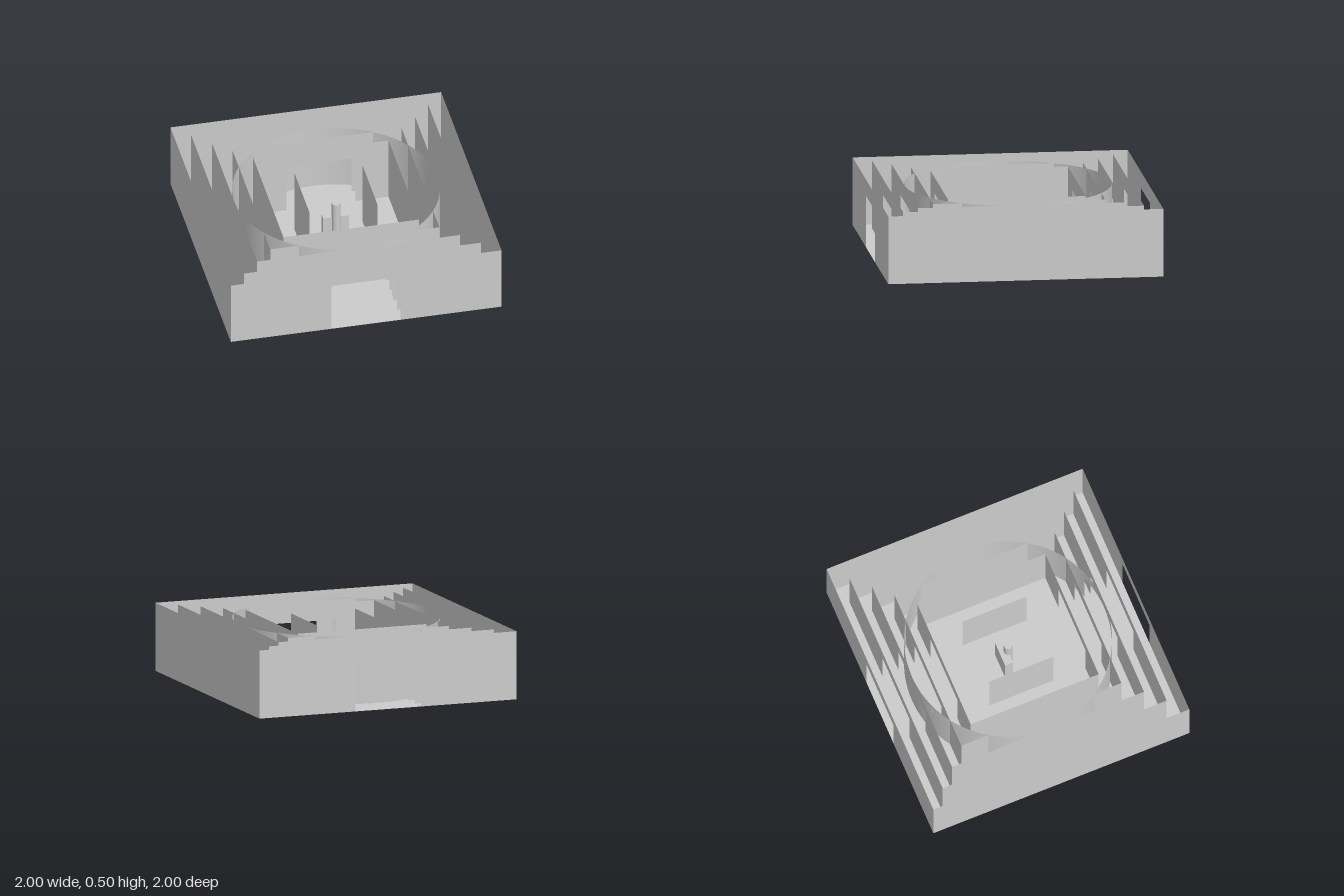
import * as THREE from 'three';

const HEIGHT = 0.5, DOOR_HALF = 0.255, DOOR_TOP = 0.38;
const material = new THREE.MeshStandardMaterial({ color: 0xcccccc, side: THREE.DoubleSide });

function add(parent, name, geometry, x = 0, y = 0, z = 0) {
  const mesh = new THREE.Mesh(geometry, material);
  mesh.name = name;
  mesh.position.set(x, y, z);
  parent.add(mesh);
  return mesh;
}

// Thin wall panel with a doorway notch cut up from the ground
function doorPanel(half) {
  const d = DOOR_HALF;
  return new THREE.ShapeGeometry(new THREE.Shape([
    [-half, 0], [-d, 0], [-d, DOOR_TOP], [d, DOOR_TOP], [d, 0], [half, 0], [half, HEIGHT], [-half, HEIGHT],
  ].map(([x, y]) => new THREE.Vector2(x, y))));
}

function sidePanels(parent, half) {
  for (const s of [-1, 1]) {
    const panel = add(parent, 'sideWall', new THREE.PlaneGeometry(2 * half, HEIGHT), s * half, HEIGHT / 2, 0);
    panel.rotation.y = s * Math.PI / 2;
  }
}

export function createModel() {
  const model = new THREE.Group();
  model.name = 'walledEnclosure';

  // Ground slab
  add(model, 'floor', new THREE.PlaneGeometry(2, 2).rotateX(-Math.PI / 2));

  // Nested square walls, with doorways front and back
  for (const half of [1, 0.875, 0.75, 0.625, 0.5]) {
    const ring = new THREE.Group();
    ring.name = 'squareWall';
    for (const s of [-1, 1]) {
      const panel = add(ring, 'doorWall', doorPanel(half), 0, 0, s * half);
      if (s < 0) panel.rotation.y = Math.PI;
    }
    sidePanels(ring, half);
    model.add(ring);
  }

  // Innermost pair of walls, open at front and back
  const inner = new THREE.Group();
  inner.name = 'innerWalls';
  sidePanels(inner, 0.25);
  model.add(inner);

  // Round wall with a doorway at the front only
  const round = new THREE.Group();
  round.name = 'roundWall';
  const r = 0.75, gap = Math.asin(DOOR_HALF / r), band = HEIGHT - DOOR_TOP;
  add(round, 'roundWallLower',
    new THREE.CylinderGeometry(r, r, DOOR_TOP, 96, 1, true, gap, 2 * Math.PI - 2 * gap), 0, DOOR_TOP / 2, 0);
  add(round, 'roundWallUpper',
    new THREE.CylinderGeometry(r, r, band, 96, 1, true), 0, DOOR_TOP + band / 2, 0);
  model.add(round);

  // Central block and pillar
  add(model, 'centralBlock', new THREE.BoxGeometry(0.19, 0.25, 0.0625), 0, 0.125, -0.031);
  add(model, 'pillar', new THREE.CylinderGeometry(0.031, 0.031, 0.375, 32), 0, 0.1875, 0);

  return model;
}
